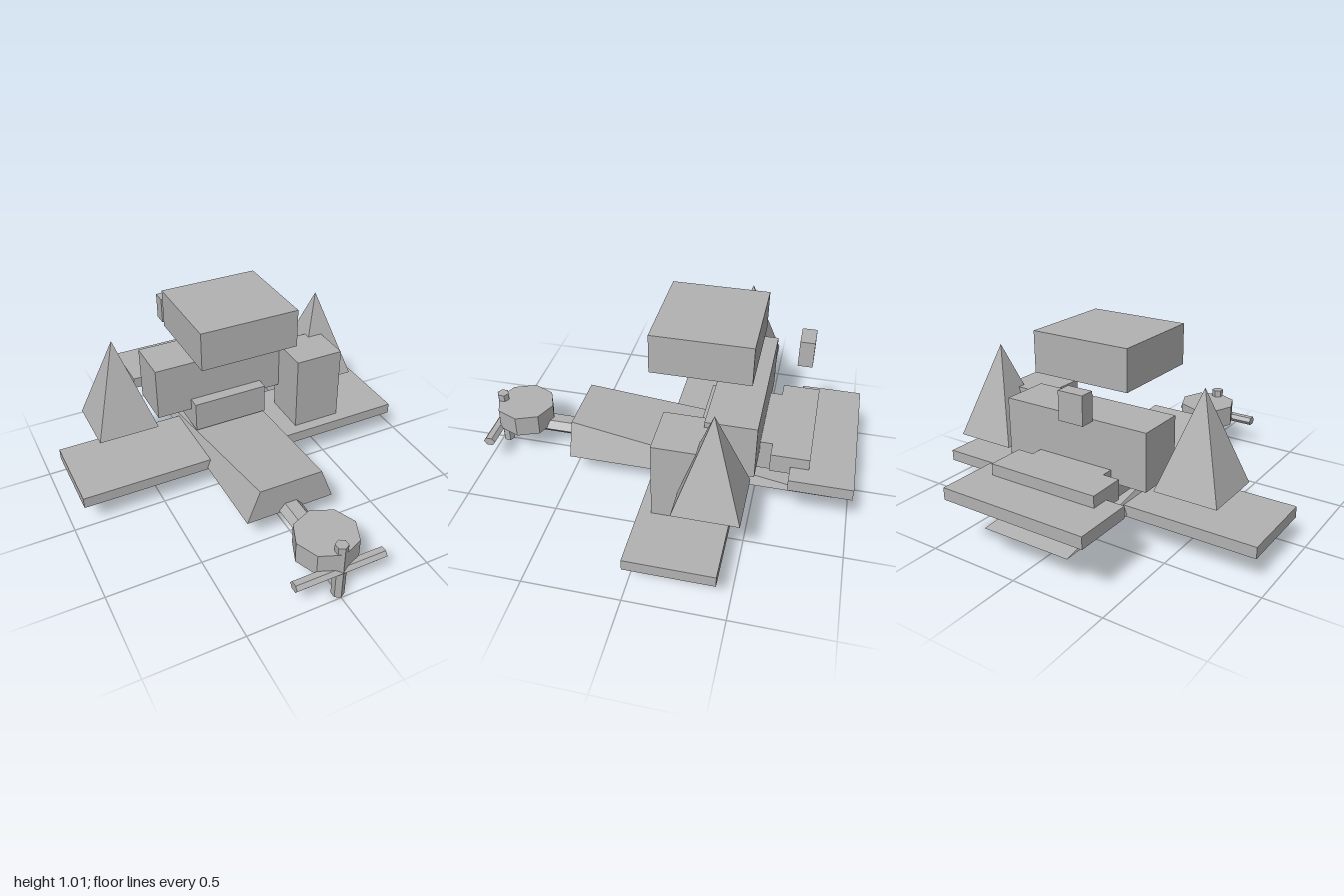
import * as THREE from 'three';

export function createModel() {
  const model = new THREE.Group();
  const grey = new THREE.MeshStandardMaterial({ color: 0xb2b2b2 });
  grey.name = 'grey';

  function add(name, geometry, x, y, z) {
    const mesh = new THREE.Mesh(geometry, grey);
    mesh.name = name;
    mesh.position.set(x, y, z);
    model.add(mesh);
    return mesh;
  }

  // Box given by its lower and upper limits on each axis
  function block(name, [x0, x1], [y0, y1], [z0, z1]) {
    return add(name, new THREE.BoxGeometry(x1 - x0, y1 - y0, z1 - z0),
      (x0 + x1) / 2, (y0 + y1) / 2, (z0 + z1) / 2);
  }

  // Faceted cylinder
  function prism(radius, length, sides) {
    const g = new THREE.CylinderGeometry(radius, radius, length, sides).toNonIndexed();
    g.computeVertexNormals();
    return g;
  }

  // Slabs and blocks
  block('wing', [-0.935, 0.935], [0.14, 0.2], [-0.435, 0.013]);
  block('upperBlock', [-0.268, 0.268], [0.797, 1.007], [-0.465, 0.041]);
  block('mainBlock', [-0.407, 0.407], [0.355, 0.652], [-0.52, -0.265]);
  block('coreBlock', [-0.212, 0.212], [0.25, 0.419], [-0.667, -0.2]);
  block('tailSlab', [-0.4, 0.4], [0.297, 0.36], [-1, -0.684]);
  block('tailStep', [-0.3, 0.3], [0.317, 0.42], [-0.777, -0.582]);
  block('smallBlock', [-0.21, -0.078], [0.71, 0.853], [-0.725, -0.65]);
  block('sideTower', [0.335, 0.607], [0.2, 0.622], [-0.307, -0.05]);

  // Body wedge: narrower on top at the nose, thinning to an edge at the tail
  const wedge = new THREE.BoxGeometry(0.49, 0.183, 1.406);
  const p = wedge.attributes.position;
  for (let i = 0; i < p.count; i++) {
    if (p.getY(i) < 0) continue;
    if (p.getZ(i) > 0) p.setX(i, p.getX(i) * 0.714);
    else p.setY(i, -0.0915);
  }
  wedge.computeVertexNormals();
  add('body', wedge, 0, 0.241, -0.206);

  // Pyramids on both sides
  for (const side of [-1, 1]) {
    const cone = new THREE.ConeGeometry(0.163 * Math.SQRT2, 0.488, 4).toNonIndexed();
    cone.rotateY(Math.PI / 4);
    cone.computeVertexNormals();
    add(side > 0 ? 'leftPyramid' : 'rightPyramid', cone, side * 0.602, 0.609, -0.343);
  }

  // Nose shaft and eight-sided drum
  const shaft = prism(0.065, 0.315, 6);
  shaft.rotateY(Math.PI / 2);
  shaft.rotateX(Math.PI / 2);
  shaft.scale(1, 0.66, 1);
  shaft.computeVertexNormals();
  add('noseShaft', shaft, 0, 0.163, 0.652);
  add('noseDrum', prism(0.163, 0.118, 8), 0, 0.224, 0.834);

  // Crossed propeller rods
  add('verticalBlade', prism(0.033, 0.323, 6), 0, 0.1615, 0.966);
  const blade = prism(0.033, 0.49, 6);
  blade.rotateZ(Math.PI / 2);
  blade.scale(1, 0.78, 1);
  blade.computeVertexNormals();
  add('horizontalBlade', blade, 0, 0.163, 0.966);

  return model;
}
